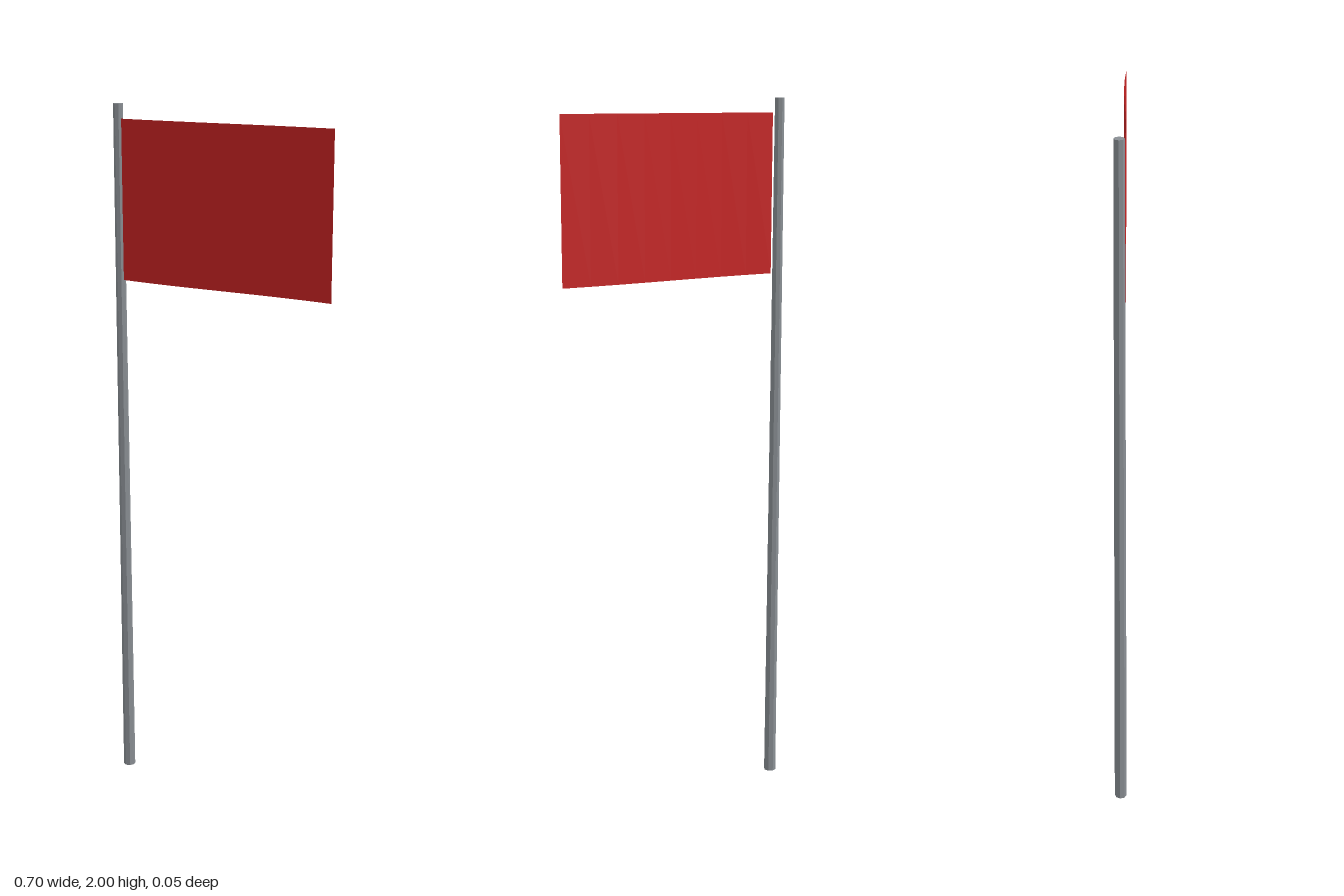
import * as THREE from 'three';

export function createModel() {
  const group = new THREE.Group();
  const metal = new THREE.MeshStandardMaterial({ name: 'grey metal', color: 0x8a8f94, flatShading: true });
  const cloth = new THREE.MeshStandardMaterial({ name: 'red cloth', color: 0xc62222, side: THREE.DoubleSide, flatShading: true });

  // Tapered eight-sided pole
  const pole = new THREE.Mesh(new THREE.CylinderGeometry(0.0135, 0.0175, 2, 8), metal);
  pole.name = 'pole';
  pole.position.set(-0.334, 1, 0.01);
  group.add(pole);

  // Flag sheet, bent into half a wave from the pole to its free edge
  const width = 0.669, height = 0.445;
  const sheet = new THREE.PlaneGeometry(width, height, 8, 1);
  const p = sheet.attributes.position;
  for (let i = 0; i < p.count; i++) {
    const t = p.getX(i) / width + 0.5;
    p.setZ(i, -0.005 + 0.0225 * Math.cos(Math.PI * t));
  }
  sheet.computeVertexNormals();
  const flag = new THREE.Mesh(sheet, cloth);
  flag.name = 'flag';
  flag.position.set(0.0175, 1.737, 0);
  group.add(flag);

  return group;
}
